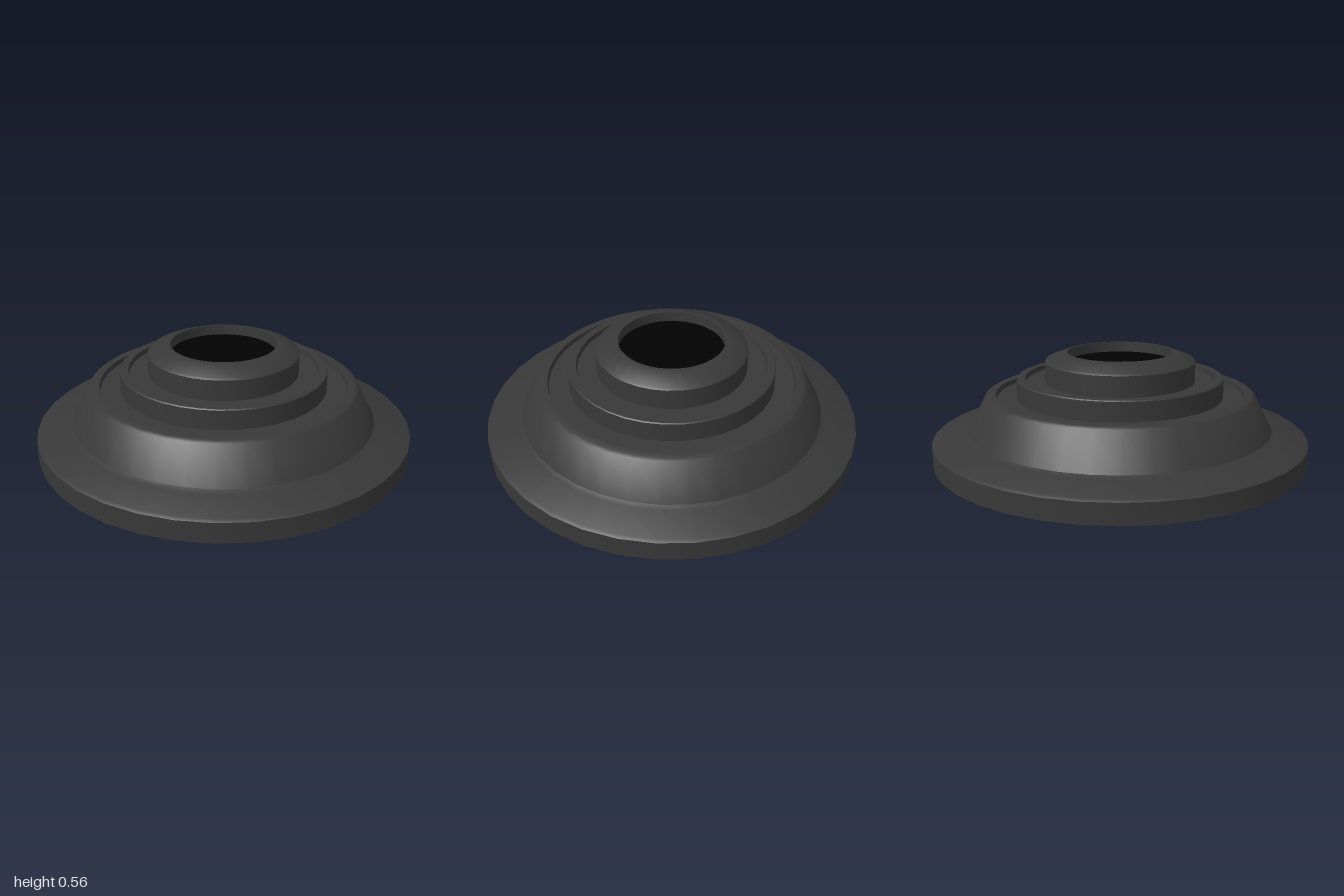
import * as THREE from 'three';
import { toCreasedNormals } from 'three/addons/utils/BufferGeometryUtils.js';

const SIDES = 36;

export function createModel() {
  const group = new THREE.Group();
  group.name = 'steppedCover';

  // Thin stepped shell, open underneath, from the base rim up to the opening
  const profile = [
    [1, 0], [1, 0.105], [0.985, 0.115],                     // base rim
    [0.835, 0.143], [0.81, 0.155],                          // flange
    [0.715, 0.335], [0.7, 0.345],                           // cone
    [0.66, 0.345], [0.655, 0.32], [0.55, 0.32],             // lower lip and ledge
    [0.55, 0.42], [0.545, 0.425],                           // middle step
    [0.505, 0.425], [0.5, 0.4], [0.4, 0.4],                 // upper lip and ledge
    [0.4, 0.508], [0.39, 0.518], [0.29, 0.555], [0.28, 0.555], // collar
    [0.28, 0.5],                                            // inner wall
  ].map(([r, y]) => new THREE.Vector2(r, y));

  const shell = new THREE.Mesh(
    toCreasedNormals(new THREE.LatheGeometry(profile, SIDES), 0.62),
    new THREE.MeshStandardMaterial({ color: 0x383838, side: THREE.DoubleSide })
  );
  shell.name = 'shell';
  group.add(shell);

  // Dark disc recessed in the opening
  const discGeometry = new THREE.CircleGeometry(0.28, SIDES);
  discGeometry.rotateX(-Math.PI / 2);
  discGeometry.translate(0, 0.5, 0);
  const disc = new THREE.Mesh(
    discGeometry,
    new THREE.MeshStandardMaterial({ color: 0x020202, side: THREE.DoubleSide })
  );
  disc.name = 'recessedDisc';
  group.add(disc);

  return group;
}
